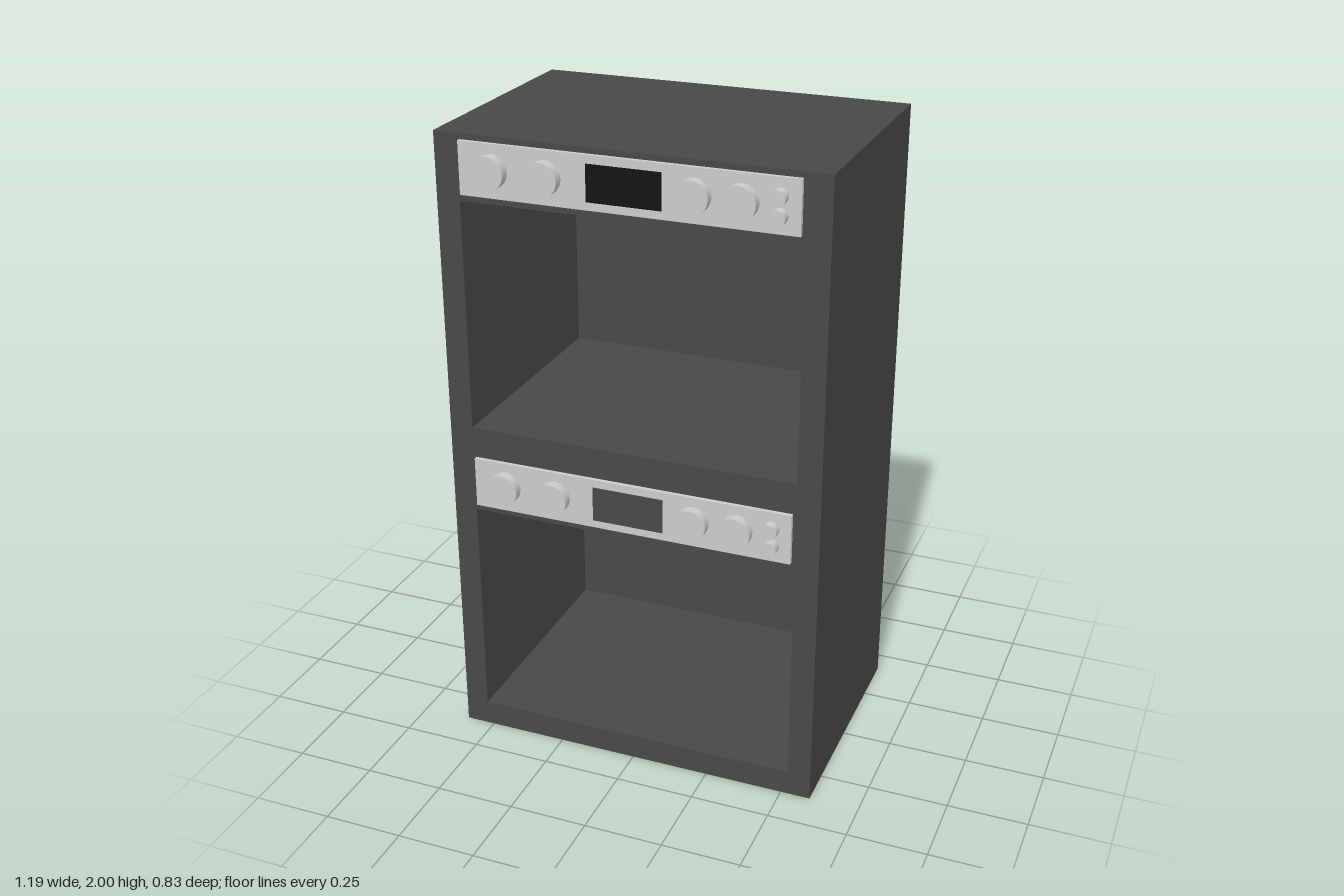
import * as THREE from 'three';

const paint = (color) => new THREE.MeshStandardMaterial({ color });
const steel = paint(0xcccccc);
const dark = paint(0x484848);
const black = paint(0x141414);

const BACK = -0.415, FRONT = 0.373, WALL = 0.004;

function add(parent, name, geometry, material, x, y, z) {
  const mesh = new THREE.Mesh(geometry, material);
  mesh.name = name;
  mesh.position.set(x, y, z);
  parent.add(mesh);
  return mesh;
}

function rectangle(path, x0, y0, x1, y1) {
  path.moveTo(x0, y0);
  path.lineTo(x1, y0);
  path.lineTo(x1, y1);
  path.lineTo(x0, y1);
  path.closePath();
  return path;
}

// Round control standing on the panel, axis along z
function knob(parent, name, x, y, radius) {
  const geometry = new THREE.CylinderGeometry(radius, radius, 0.034, 32).rotateX(Math.PI / 2);
  add(parent, name, geometry, steel, x, y, 0.4);
}

function createOven(name, displayMaterial) {
  const oven = new THREE.Group();
  oven.name = name;

  // Hollow cabinet, open at the front
  const outline = rectangle(new THREE.Shape(), -0.594, 0, 0.594, 1);
  outline.holes.push(rectangle(new THREE.Path(), -0.52, 0.08, 0.52, 0.8));
  const shell = new THREE.ExtrudeGeometry(outline, { depth: FRONT - BACK - WALL, bevelEnabled: false });
  add(oven, 'cabinet', shell, dark, 0, 0, BACK + WALL);
  add(oven, 'backPanel', new THREE.BoxGeometry(1.188, 1, WALL), dark, 0, 0.5, BACK + WALL / 2);

  // Control strip with display
  add(oven, 'controlPanel', new THREE.BoxGeometry(1.022, 0.16, 0.014), steel, 0, 0.902, 0.379);
  add(oven, 'display', new THREE.BoxGeometry(0.226, 0.11, 0.01), displayMaterial, -0.002, 0.902, 0.384);

  // Four large knobs and two small buttons
  for (const x of [-0.408, -0.242, 0.206, 0.343]) knob(oven, 'knob', x, 0.903, 0.05);
  for (const y of [0.874, 0.93]) knob(oven, 'button', 0.452, y, 0.023);
  return oven;
}

export function createModel() {
  const model = new THREE.Group();
  model.name = 'doubleOven';
  const lower = createOven('lowerOven', dark);
  const upper = createOven('upperOven', black);
  upper.position.y = 1;
  model.add(lower, upper);
  return model;
}
